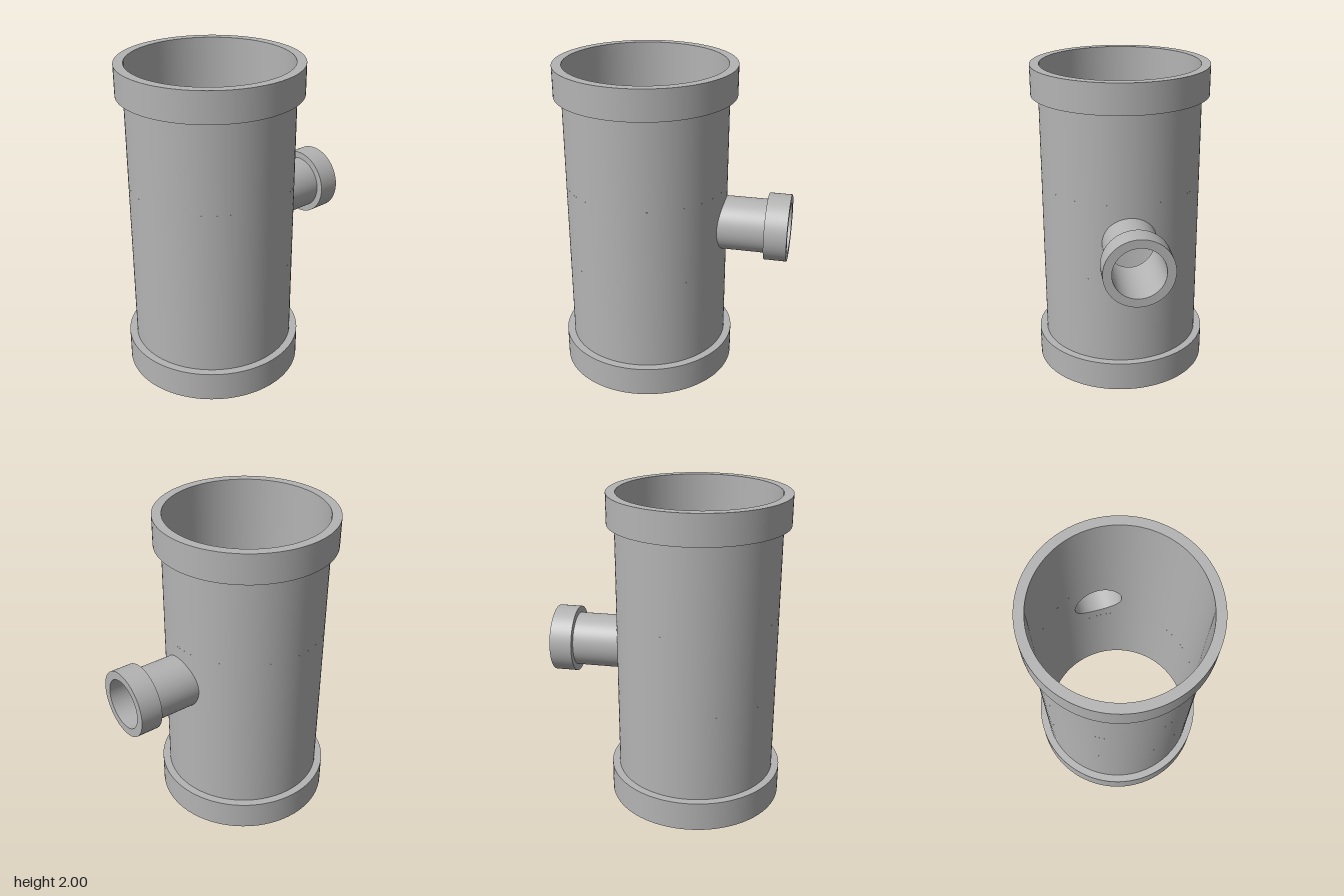
import * as THREE from 'three';
import { mergeGeometries } from 'three/addons/utils/BufferGeometryUtils.js';
import { ParametricGeometry } from 'three/addons/geometries/ParametricGeometry.js';

const SEG = 96;
const AXIS_X = -0.18;                             // centre line of the main pipe
const BORE = 0.497, PIPE = 0.507, COLLAR = 0.555; // main pipe radii
const B_BORE = 0.157, B_PIPE = 0.169, B_COLLAR = 0.21; // branch radii
const MID = 1.003, PATCH = 0.25;                  // branch height, half-size of the wall patch around it
const B_STEP = 0.59 - AXIS_X, B_END = 0.73 - AXIS_X;

// Revolved profile with a hard edge at every point
function turned(profile, start = 0, length = Math.PI * 2) {
  const bands = [];
  for (let i = 0; i < profile.length - 1; i++) {
    const pts = [profile[i], profile[i + 1]].map(([r, y]) => new THREE.Vector2(r, y));
    bands.push(new THREE.LatheGeometry(pts, SEG, start, length));
  }
  return mergeGeometries(bands);
}

// Square piece of curved wall with a round opening; dir -1 faces out, 1 faces in
function openingPatch(R, hole, dir) {
  return new ParametricGeometry((u, v, p) => {
    const t = dir * u * Math.PI * 2, c = Math.cos(t), s = Math.sin(t);
    const k = PATCH / Math.max(Math.abs(c), Math.abs(s));
    const angle = THREE.MathUtils.lerp(Math.asin(hole * c / R), k * c / R, v);
    const y = THREE.MathUtils.lerp(hole, k, v) * s;
    p.set(R * Math.cos(angle), MID + y, -R * Math.sin(angle));
  }, SEG, 8);
}

// Cylinder wall with an opening on the +x side
function wall(R, hole, y0, y1, outward) {
  const a = PATCH / R;
  const band = (b, t, start, length) =>
    turned(outward ? [[R, b], [R, t]] : [[R, t], [R, b]], start, length);
  return mergeGeometries([
    band(y0, MID - PATCH),
    band(MID + PATCH, y1),
    band(MID - PATCH, MID + PATCH, Math.PI / 2 + a, Math.PI * 2 - 2 * a),
    openingPatch(R, hole, outward ? -1 : 1),
  ]);
}

// Branch tube whose inner end follows the main cylinder
function saddleTube(r, R, end, dir) {
  return new ParametricGeometry((u, v, p) => {
    const t = dir * u * Math.PI * 2, z = -r * Math.cos(t);
    const x = THREE.MathUtils.lerp(Math.sqrt(R * R - z * z), end, v);
    p.set(x, MID + r * Math.sin(t), z);
  }, SEG, 4);
}

export function createModel() {
  const group = new THREE.Group();
  group.name = 'pipeTee';
  const grey = new THREE.MeshStandardMaterial({ color: 0xb4b4b4, side: THREE.DoubleSide });
  grey.name = 'grey';
  const add = (name, geometry) => {
    const mesh = new THREE.Mesh(geometry, grey);
    mesh.name = name;
    mesh.position.x = AXIS_X;
    group.add(mesh);
  };

  // Main pipe
  add('mainPipe', wall(PIPE, B_PIPE, 0.19, 1.813, true));
  add('mainBore', wall(BORE, B_BORE, 0, 2, false));
  add('bottomCollar', turned([[BORE, 0], [COLLAR, 0], [COLLAR, 0.19], [PIPE, 0.19]]));
  add('topCollar', turned([[PIPE, 1.813], [COLLAR, 1.813], [COLLAR, 2], [BORE, 2]]));

  // Side branch
  add('branchPipe', saddleTube(B_PIPE, PIPE, B_STEP, 1));
  add('branchBore', saddleTube(B_BORE, BORE, B_END, -1));
  const collar = turned([[B_PIPE, B_STEP], [B_COLLAR, B_STEP], [B_COLLAR, B_END], [B_BORE, B_END]]);
  add('branchCollar', collar.rotateZ(-Math.PI / 2).translate(0, MID, 0));
  return group;
}
